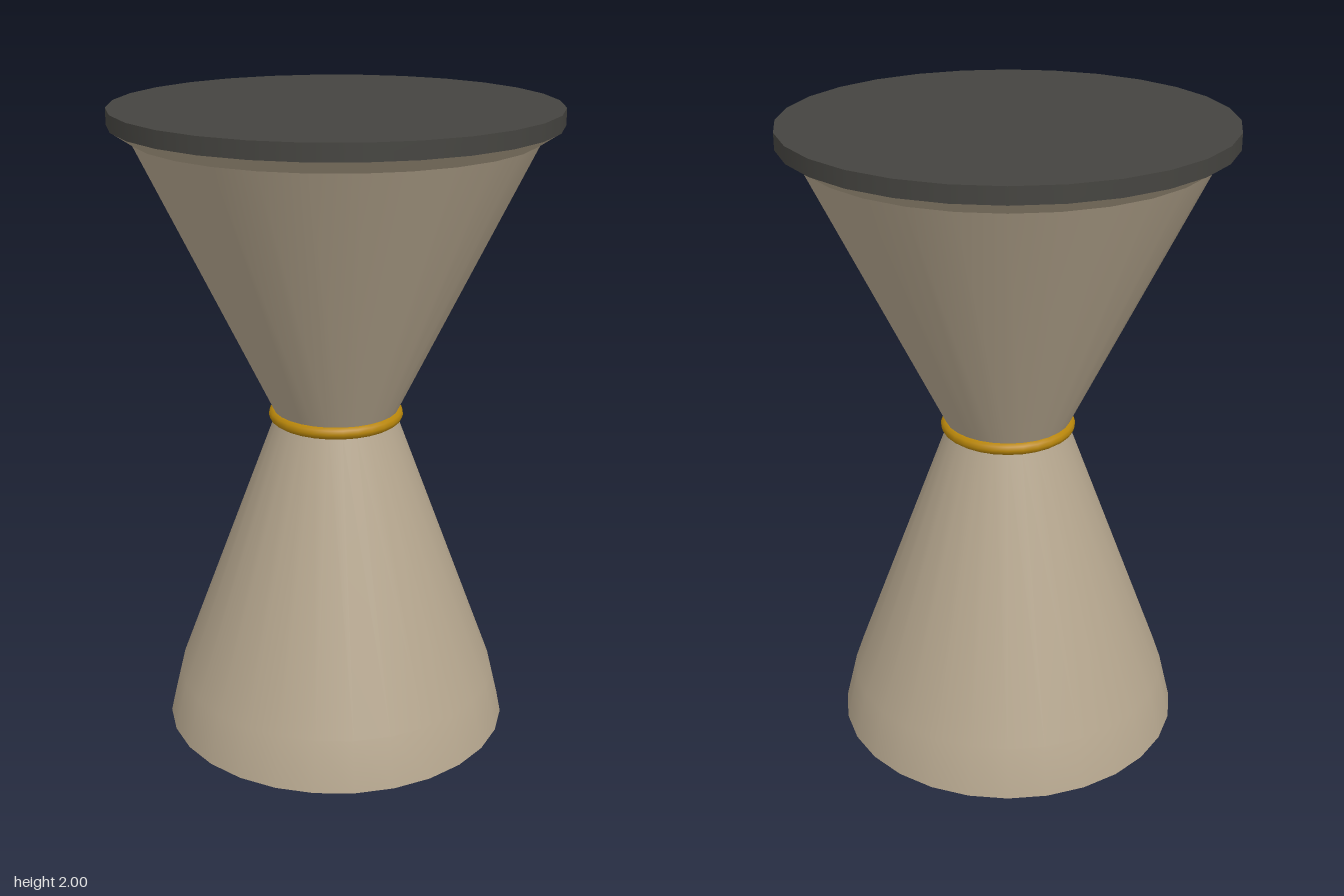
import * as THREE from 'three';

const SIDES = 28;
const material = (color) => new THREE.MeshStandardMaterial({ color });

// Lathe from [radius, y] pairs listed bottom to top
function lathe(name, points, mat) {
  const profile = points.map(([r, y]) => new THREE.Vector2(r, y));
  const mesh = new THREE.Mesh(new THREE.LatheGeometry(profile, SIDES), mat);
  mesh.name = name;
  return mesh;
}

export function createModel() {
  const model = new THREE.Group();
  model.name = 'hourglassTable';
  const beige = material(0xb5a68e);
  const dark = material(0x454440);
  const gold = material(0xb8860b);

  // Hourglass body, in pieces so that the edges between them stay sharp
  const body = new THREE.Group();
  body.name = 'body';
  body.add(
    lathe('baseUnderside', [[0, 0], [0.553, 0]], beige),
    lathe('lowerCone', [[0.553, 0], [0.515, 0.16], [0.188, 1.04]], beige),
    lathe('upperCone', [[0.188, 1.04], [0.61, 1.91]], beige),
    lathe('rimFlare', [[0.61, 1.91], [0.67, 1.95]], beige)
  );
  model.add(body);

  // Dark disc on top
  const top = new THREE.Mesh(new THREE.CylinderGeometry(0.672, 0.672, 0.05, SIDES), dark);
  top.name = 'tableTop';
  top.position.y = 1.975;
  model.add(top);

  // Gold ring around the waist
  const ring = new THREE.Mesh(new THREE.TorusGeometry(0.192, 0.02, 10, SIDES), gold);
  ring.name = 'waistRing';
  ring.rotation.x = Math.PI / 2;
  ring.position.y = 1.04;
  model.add(ring);

  return model;
}
